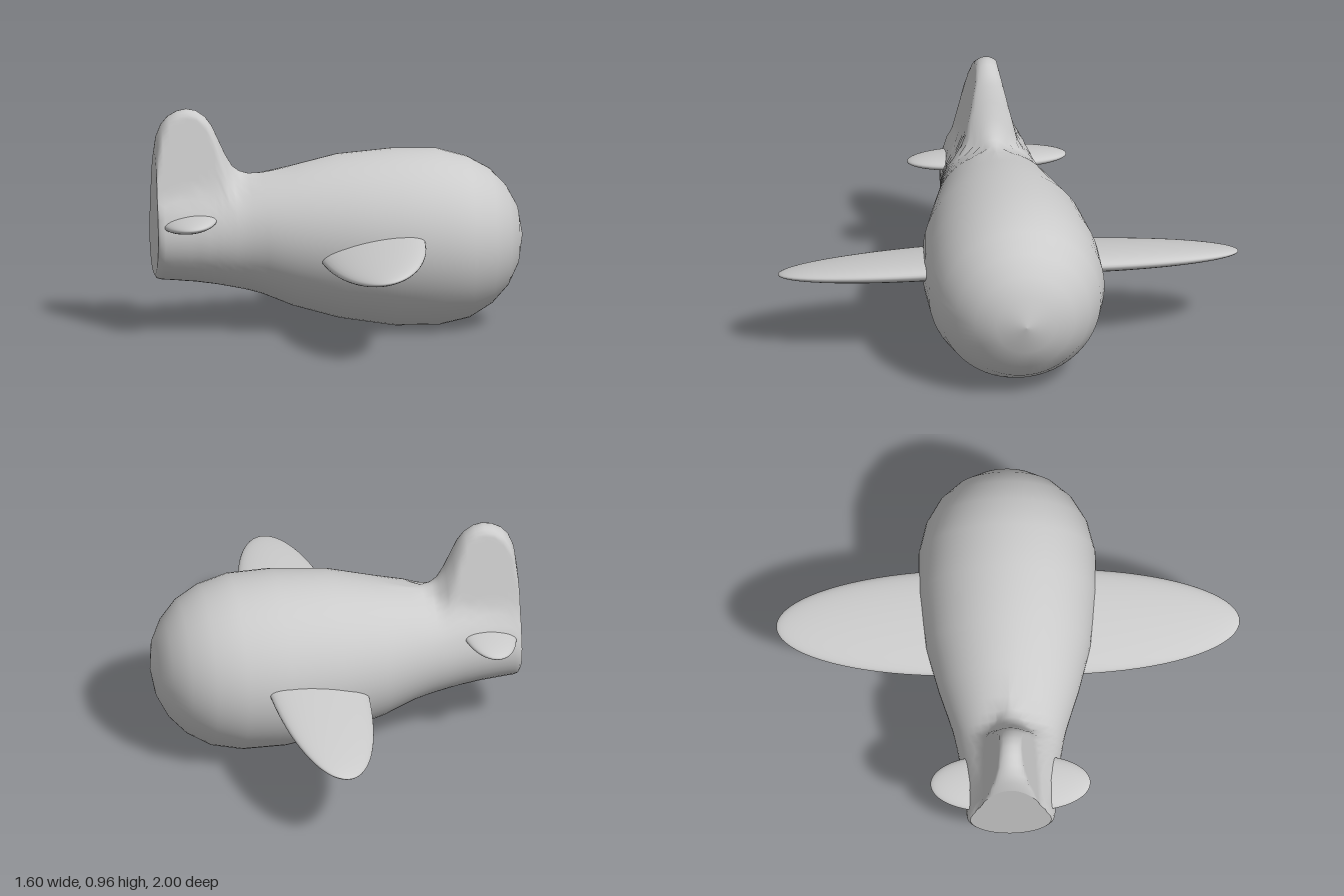
import * as THREE from 'three';

const clamp = THREE.MathUtils.clamp;

// Stations from tail to nose: x, belly height, body radius, top height (when a fin rises above the body)
const STATIONS = [
  [-0.8, 0.245, 0.175, 0.78], [-0.79, 0.228, 0.187, 0.85], [-0.77, 0.222, 0.192, 0.9],
  [-0.74, 0.22, 0.195, 0.935], [-0.7, 0.217, 0.2, 0.957], [-0.66, 0.213, 0.203, 0.965],
  [-0.62, 0.21, 0.208, 0.957], [-0.58, 0.204, 0.212, 0.93], [-0.55, 0.2, 0.216, 0.89],
  [-0.52, 0.195, 0.22, 0.825], [-0.49, 0.189, 0.225, 0.76], [-0.46, 0.183, 0.23, 0.71],
  [-0.43, 0.177, 0.236, 0.688], [-0.39, 0.168, 0.245, 0.677], [-0.33, 0.151, 0.263, 0.68],
  [-0.2, 0.097, 0.303], [0, 0.04, 0.355], [0.24, 0.002, 0.384], [0.43, 0.002, 0.382],
  [0.56, 0.03, 0.35], [0.66, 0.09, 0.292], [0.73, 0.165, 0.217], [0.775, 0.255, 0.13], [0.8, 0.385, 0],
];

// One closed section: a circle smoothly merged with the tapering fin above it
function section([x, bottom, r, finTop], half = 28) {
  const cy = bottom + r;
  const top = finTop ?? bottom + 2 * r;
  const right = [];
  for (let j = 0; j <= half; j++) {
    const y = (bottom + top) / 2 - ((top - bottom) / 2) * Math.cos((Math.PI * j) / half);
    const circle = Math.sqrt(Math.max(0, r * r - (y - cy) ** 2));
    const taper = Math.min(0.04 + 0.235 * (0.965 - y), Math.sqrt(Math.max(0, 0.1 * (top - y))));
    const fade = THREE.MathUtils.smoothstep(y, cy, cy + 0.13) * clamp((-0.3 - x) / 0.08, 0, 1);
    const w = (circle ** 6 + (taper * fade) ** 6) ** (1 / 6);
    right.push([x, y, j === 0 || j === half ? 0 : w]);
  }
  const left = right.slice(1, -1).reverse().map(([px, py, pz]) => [px, py, -pz]);
  return [...right, ...left];
}

// Fuselage and fin as one skin, closed by a flat tail face
function fuselageGeometry() {
  const rings = STATIONS.map((s) => section(s));
  const n = rings[0].length;
  const points = rings.flat();
  const index = [];
  for (let i = 0; i < rings.length - 1; i++) {
    for (let j = 0; j < n; j++) {
      const k = (j + 1) % n;
      const a = i * n + j, b = a + n, c = i * n + k, d = c + n;
      index.push(a, b, c, b, d, c);
    }
  }
  const start = points.length;
  points.push(...rings[0], [STATIONS[0][0], 0.42, 0]);
  for (let j = 0; j < n; j++) index.push(start + n, start + j, start + ((j + 1) % n));
  const geo = new THREE.BufferGeometry();
  geo.setAttribute('position', new THREE.Float32BufferAttribute(points.flat(), 3));
  geo.setIndex(index);
  geo.computeVertexNormals();
  return geo;
}

// Half ellipsoid pointing outwards, tilted nose-up and drooping slightly
function wingGeometry(side, chord, thickness, span, tilt, droop) {
  const geo = new THREE.SphereGeometry(1, 40, 20, 0, Math.PI * 2, 0, Math.PI / 2);
  geo.rotateX((side * Math.PI) / 2);
  geo.scale(chord, thickness, span);
  geo.rotateZ(tilt);
  geo.rotateX(side * droop);
  return geo;
}

export function createModel() {
  const group = new THREE.Group();
  const material = new THREE.MeshStandardMaterial({ color: 0xcccccc, side: THREE.DoubleSide });
  const add = (name, geo, x = 0, y = 0, z = 0) => {
    const mesh = new THREE.Mesh(geo, material);
    mesh.name = name;
    mesh.position.set(x, y, z);
    group.add(mesh);
  };

  add('fuselageAndFin', fuselageGeometry());
  for (const side of [1, -1]) {
    const label = side > 0 ? 'front' : 'back';
    add(label + 'Wing', wingGeometry(side, 0.23, 0.053, 0.8, 0.21, 0.025), 0.117, 0.386, side * 0.2);
    add(label + 'Tailplane', wingGeometry(side, 0.121, 0.035, 0.245, 0.14, 0), -0.66, 0.491, side * 0.1);
  }
  return group;
}
